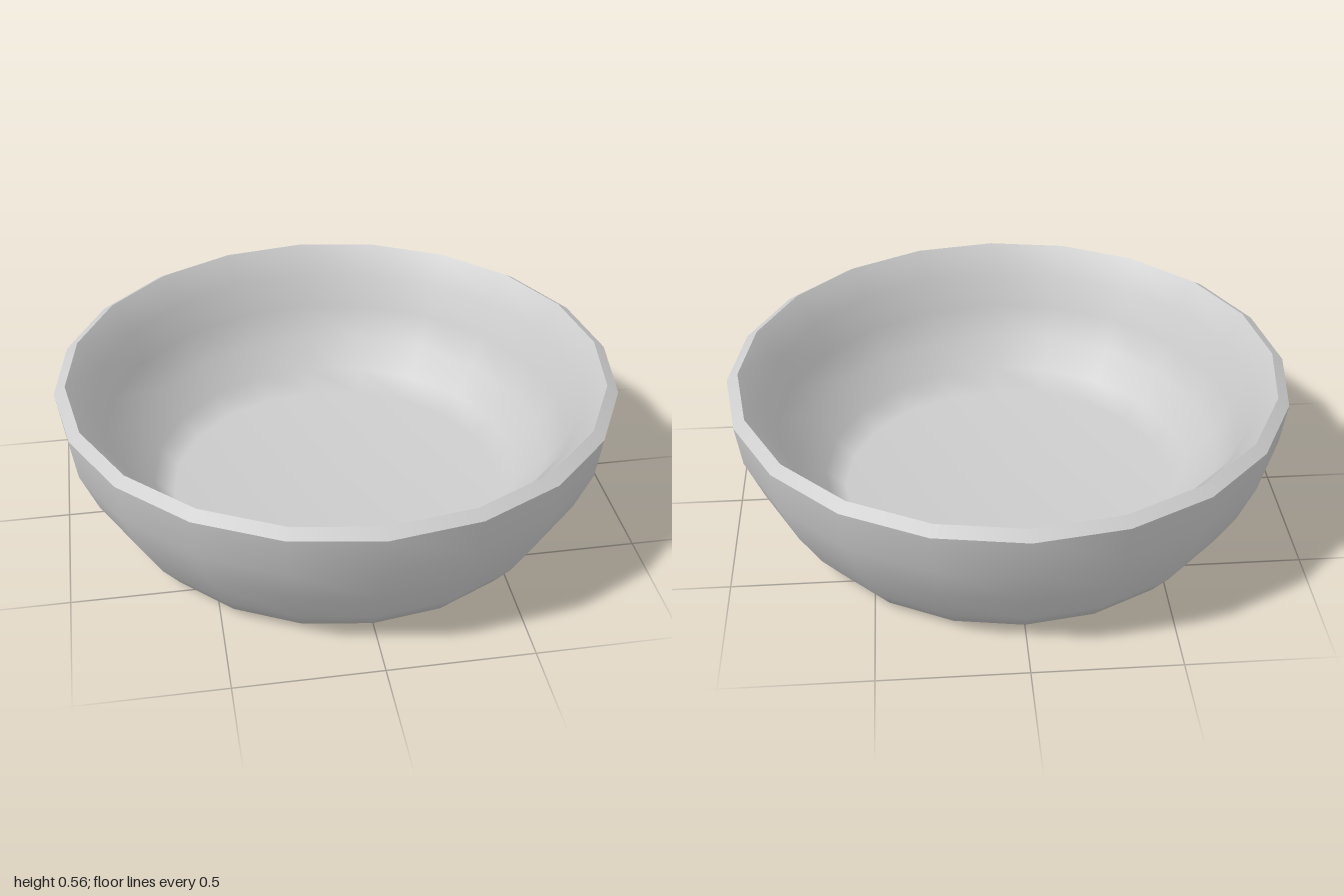
import * as THREE from 'three';

const SIDES = 20;

// Profiles run from the underside, up the outside, over the rim and down inside.
const profiles = {
  outerShell: [[0, 0], [0.77, 0], [0.84, 0.09], [0.92, 0.23], [0.98, 0.38], [1, 0.53]],
  rim: [[1, 0.53], [0.96, 0.555]],
  innerBasin: [[0.96, 0.555], [0.877, 0.457], [0.838, 0.33], [0.77, 0.22], [0.68, 0.12], [0.61, 0.05], [0, 0.05]],
};

export function createModel() {
  const bowl = new THREE.Group();
  bowl.name = 'bowl';
  const material = new THREE.MeshStandardMaterial({ color: 0xcccccc });

  // Separate lathes keep the rim edges sharp while the walls stay smooth.
  for (const [name, profile] of Object.entries(profiles)) {
    const points = profile.map(([r, y]) => new THREE.Vector2(r, y));
    const mesh = new THREE.Mesh(new THREE.LatheGeometry(points, SIDES), material);
    mesh.name = name;
    bowl.add(mesh);
  }
  return bowl;
}
